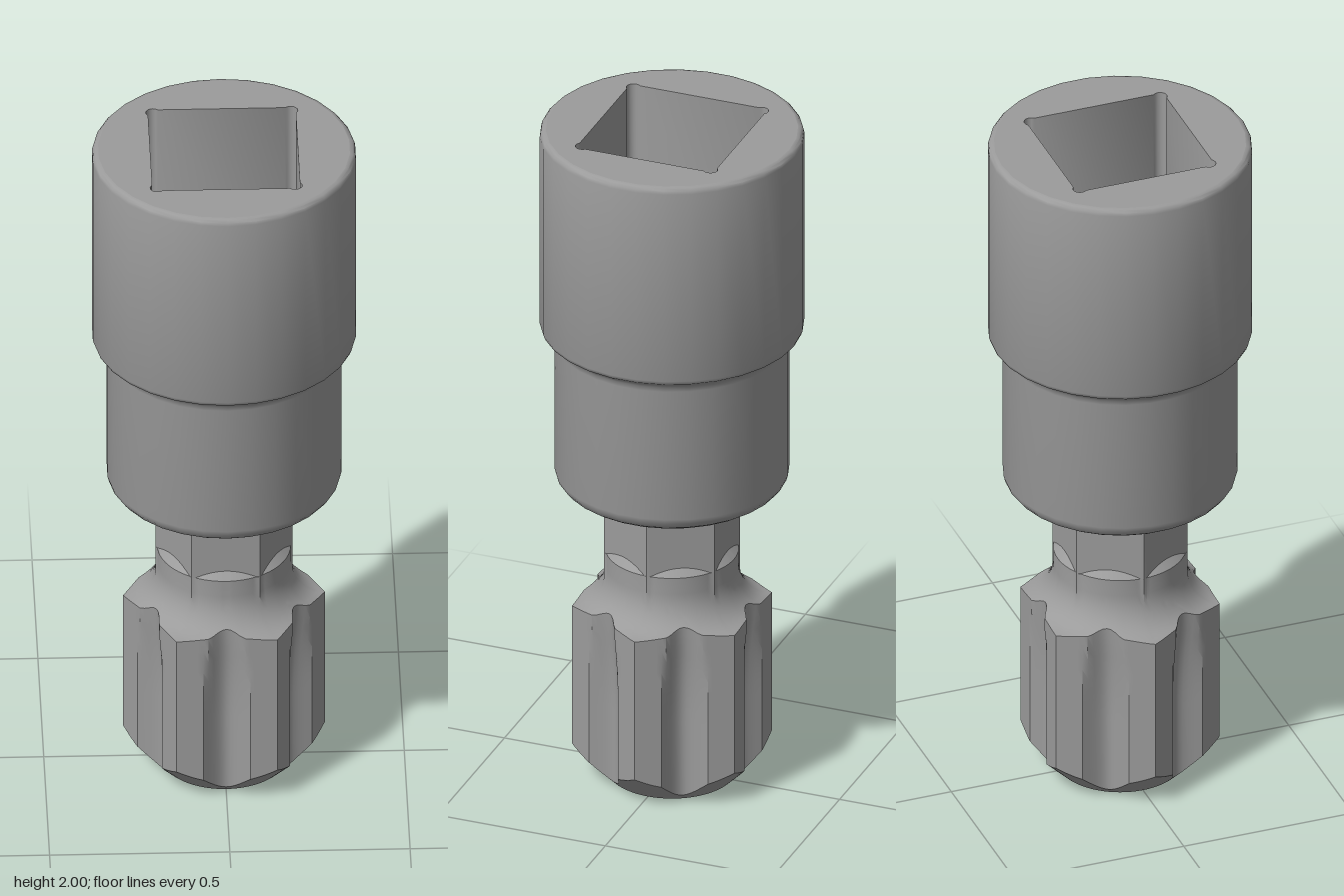
import * as THREE from 'three';
import { toCreasedNormals } from 'three/addons/utils/BufferGeometryUtils.js';

const material = new THREE.MeshStandardMaterial({ color: 0x9b9b9b });
const SIDES = 30;

function part(name, geometry, crease) {
  const mesh = new THREE.Mesh(toCreasedNormals(geometry, crease), material);
  mesh.name = name;
  return mesh;
}

function lathe(name, points) {
  return part(name, new THREE.LatheGeometry(points.map(p => new THREE.Vector2(...p)), SIDES), 0.8);
}

// Vertical profile [radius, height] of the fluted bit at one angle, from the blind hole up to the shank
function bitProfile(theta) {
  const sector = Math.PI / 3, flute = Math.PI / 12;
  const phi = theta % sector - sector / 2;
  const shank = 0.1645 / Math.cos(phi);
  const collar = Math.max(0.185, shank);
  // hexagonal head; the flutes grow shallower towards the top (t = 1)
  const head = t => 0.2425 / Math.cos(phi) - Math.max(0, 0.042 * (1 - (phi / flute) ** 2) - 0.02 * t * t);
  const foot = head(0);
  const rows = [[0, 0.3], [0.12, 0.3], [0.12, 0], [0.18, 0], [foot, foot - 0.18]];
  for (let t = 0; t < 1; t += 0.125) rows.push([head(t), 0.25 + 0.28 * t]);
  // concave flare from the head into the collar
  const start = Math.acos(Math.max(0, (0.28 - head(1)) / 0.095));
  for (let i = 0; i <= 8; i++) {
    const a = start * (1 - i / 8);
    rows.push([Math.max(shank, 0.28 - 0.095 * Math.cos(a)), 0.64 - 0.11 * Math.sin(a)]);
  }
  // scalloped collar top and hexagonal shank
  rows.push([collar, 0.69], [shank, 0.69 + collar - shank], [shank, 0.92]);
  return rows;
}

function bitGeometry() {
  const columns = 120, positions = [], index = [];
  let rows = 0;
  for (let j = 0; j < columns; j++) {
    const theta = j / columns * Math.PI * 2;
    const profile = bitProfile(theta);
    rows = profile.length;
    for (const [r, y] of profile) positions.push(r * Math.cos(theta), y, r * Math.sin(theta));
  }
  for (let j = 0; j < columns; j++) {
    for (let i = 0; i < rows - 1; i++) {
      const a = j * rows + i, d = ((j + 1) % columns) * rows + i;
      index.push(a, a + 1, d + 1, a, d + 1, d);
    }
  }
  const geometry = new THREE.BufferGeometry();
  geometry.setAttribute('position', new THREE.Float32BufferAttribute(positions, 3));
  geometry.setIndex(index);
  return geometry;
}

// Round rim with a square hole whose corners are relieved by small arcs
function squareDriveGeometry() {
  const rim = [], hole = [];
  for (let i = 0; i < SIDES; i++) {
    const a = Math.PI / 2 + i / SIDES * Math.PI * 2;
    rim.push(new THREE.Vector2(0.35 * Math.cos(a), 0.35 * Math.sin(a)));
  }
  for (let k = 0; k < 4; k++) {
    for (let i = 0; i <= 8; i++) {
      const a = THREE.MathUtils.degToRad(-46 + 182 * i / 8);
      const p = new THREE.Vector2(0.191 + 0.02 * Math.cos(a), 0.191 + 0.02 * Math.sin(a));
      hole.push(p.rotateAround(new THREE.Vector2(), k * Math.PI / 2));
    }
  }
  const shape = new THREE.Shape(rim);
  shape.holes.push(new THREE.Path(hole));
  const geometry = new THREE.ExtrudeGeometry(shape, { depth: 0.6, bevelEnabled: false });
  return geometry.rotateX(-Math.PI / 2).translate(0, 1.4, 0);
}

export function createModel() {
  const group = new THREE.Group();
  group.name = 'socketAdapter';

  // Stepped outer sleeve
  group.add(lathe('socketBody', [
    [0, 0.9], [0.29, 0.9], [0.308, 0.912], [0.322, 0.93], [0.326, 0.945],
    [0.326, 1.345], [0.329, 1.36], [0.338, 1.371], [0.352, 1.38], [0.363, 1.387], [0.367, 1.398],
    [0.367, 1.982], [0.365, 1.991], [0.359, 1.998], [0.35, 2],
  ]));

  // Square socket and the round recesses in its floor
  group.add(part('squareSocket', squareDriveGeometry(), 0.8));
  group.add(lathe('socketFloor', [
    [0.31, 1.402], [0.203, 1.402], [0.203, 1.33], [0.102, 1.33], [0.102, 1.1], [0, 1.1],
  ]));

  // Fluted bit with collar and hexagonal shank
  group.add(part('flutedBit', bitGeometry(), 0.55));
  return group;
}
